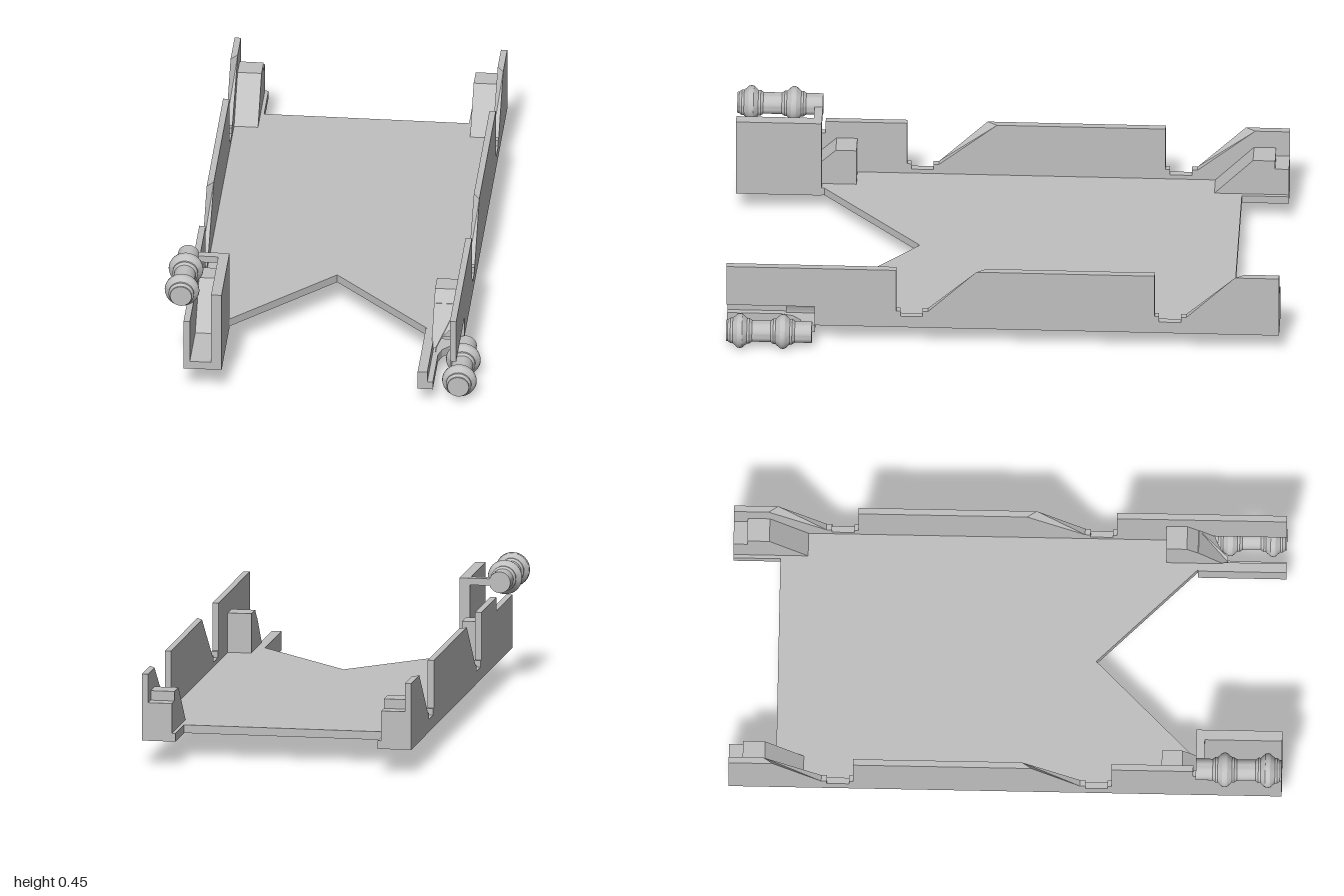
import * as THREE from 'three';
import { toCreasedNormals } from 'three/addons/utils/BufferGeometryUtils.js';

const grey = new THREE.MeshStandardMaterial({ color: 0xc0c0c0 });
grey.name = 'plain grey';

const shapeOf = (pts) => new THREE.Shape(pts.map(([a, b]) => new THREE.Vector2(a, b)));
const extrude = (shape, depth) =>
  new THREE.ExtrudeGeometry(shape, { depth, bevelEnabled: false, curveSegments: 12 });

export function createModel() {
  const model = new THREE.Group();
  model.name = 'trayFrame';

  const add = (name, geometry) => {
    const mesh = new THREE.Mesh(geometry, grey);
    mesh.name = name;
    model.add(mesh);
    return mesh;
  };
  // Box given by its limits
  const box = (name, x0, x1, y0, y1, z0, z1) =>
    add(name, new THREE.BoxGeometry(x1 - x0, y1 - y0, z1 - z0)
      .translate((x0 + x1) / 2, (y0 + y1) / 2, (z0 + z1) / 2));
  // Side profile of (z, y) points, extruded across x0..x1
  const across = (pts, x0, x1) =>
    extrude(shapeOf(pts), x1 - x0).rotateY(-Math.PI / 2).translate(x1, 0, 0);

  // Floor with a V notch in front and two tails behind
  add('floor', extrude(shapeOf([
    [-0.495, -1], [-0.372, -1], [-0.372, -0.83], [0.372, -0.83], [0.372, -1], [0.495, -1],
    [0.495, 0.68], [0.36, 0.68], [0, 0.32], [-0.36, 0.68], [-0.36, 1], [-0.495, 1],
  ]), 0.03).rotateX(Math.PI / 2).translate(0, 0.12, 0));

  // Side walls: two ramped gaps, and a front end cut to clear the roller
  const gap = (z) => [
    [z, 0.335], [z, 0.16], [z - 0.015, 0.16], [z - 0.015, 0.137],
    [z - 0.095, 0.137], [z - 0.095, 0.16], [z - 0.115, 0.16], [z - 0.29, 0.335],
  ];
  const fronts = {
    '-1': [[1, 0.09], [1, 0.285], [0.68, 0.285], [0.68, 0.335]],
    '1': [[0.68, 0.09], [0.68, 0.17], [1, 0.17], [1, 0.335]],
  };
  for (const side of [-1, 1]) {
    const profile = [[-1, 0.09], ...fronts[side], ...gap(0.385), ...gap(-0.55), [-1, 0.335]];
    const x0 = side > 0 ? 0.472 : -0.495;
    let wall = across(profile, x0, x0 + 0.023);
    // Slant the tops of the ramps inwards
    const p = wall.attributes.position;
    for (let i = 0; i < p.count; i++) {
      const z = p.getZ(i);
      const rampTop = Math.abs(z - 0.095) < 0.01 || Math.abs(z + 0.84) < 0.01;
      if (rampTop && p.getY(i) > 0.3 && Math.abs(p.getX(i)) < 0.48) p.setZ(i, z - 0.035);
    }
    wall.computeVertexNormals();
    add(side > 0 ? 'leftWall' : 'rightWall', wall);

    // Rear wedge and the lower step behind it
    const [w0, w1] = side > 0 ? [0.385, 0.473] : [-0.473, -0.385];
    add('rearWedge', across(
      [[-0.95, 0.11], [-0.73, 0.11], [-0.73, 0.12], [-0.87, 0.265], [-0.95, 0.265]], w0, w1));
    box('rearStep', w0, w1, 0.1, 0.23, -1, -0.95);
  }

  // Front wedges; the left one is hollowed over its roller
  add('rightFrontWedge', across(
    [[0.565, 0.11], [0.79, 0.11], [0.79, 0.12], [0.64, 0.265], [0.565, 0.265]], -0.473, -0.39));
  add('leftFrontWedge', across(
    [[0.565, 0.11], [0.68, 0.11], [0.68, 0.227], [0.64, 0.265], [0.565, 0.265]], 0.385, 0.473));
  const hollow = shapeOf([[0.385, 0.1], [0.4, 0.1]]);
  for (let i = 0; i <= 8; i++) {
    const a = Math.PI - (i / 8) * 1.28;
    hollow.lineTo(0.5 + 0.1 * Math.cos(a), 0.075 + 0.095 * Math.sin(a));
  }
  hollow.lineTo(0.473, 0.227);
  hollow.lineTo(0.385, 0.227);
  const hood = extrude(hollow, 0.11).translate(0, 0, 0.68);
  const h = hood.attributes.position;
  for (let i = 0; i < h.count; i++) {
    if (h.getZ(i) > 0.7 && h.getY(i) > 0.22) h.setZ(i, 0.682);
    else if (h.getZ(i) > 0.7) h.setZ(i, 0.68 + 0.227 - Math.max(h.getY(i), 0.12));
  }
  hood.computeVertexNormals();
  add('leftFrontHood', hood);

  // Raised bracket on the right, low bracket on the left
  box('raisedBracketWall', -0.395, -0.357, 0.09, 0.4, 0.69, 1);
  box('raisedBracketArm', -0.48, -0.39, 0.375, 0.4, 0.69, 0.72);
  box('lowBracketRail', 0.355, 0.39, 0.05, 0.12, 0.68, 1);
  box('lowBracketLip', 0.385, 0.41, 0.05, 0.08, 0.68, 1);
  add('lowBracketArm', extrude(shapeOf(
    [[0.4, 0.68], [0.48, 0.68], [0.48, 0.72], [0.445, 0.735], [0.422, 0.76], [0.41, 0.8], [0.4, 0.8]],
  ), 0.03).rotateX(Math.PI / 2).translate(0, 0.08, 0));

  // Rollers: a shaft with two rounded collars
  const collar = (z) => [
    [0.039, z - 0.044], [0.046, z - 0.034], [0.046, z - 0.026],
    [0.061, z - 0.009], [0.063, z], [0.061, z + 0.009],
    [0.046, z + 0.026], [0.046, z + 0.034], [0.039, z + 0.044],
  ];
  const rollerProfile = [
    [0, 0.69], [0.039, 0.69], ...collar(0.795), ...collar(0.95), [0.039, 1], [0, 1],
  ].map(([r, z]) => new THREE.Vector2(r, z));
  const roller = toCreasedNormals(
    new THREE.LatheGeometry(rollerProfile, 32).rotateX(Math.PI / 2), 0.5);
  add('rightRoller', roller).position.set(-0.505, 0.388, 0);
  add('leftRoller', roller).position.set(0.502, 0.064, 0);

  return model;
}
